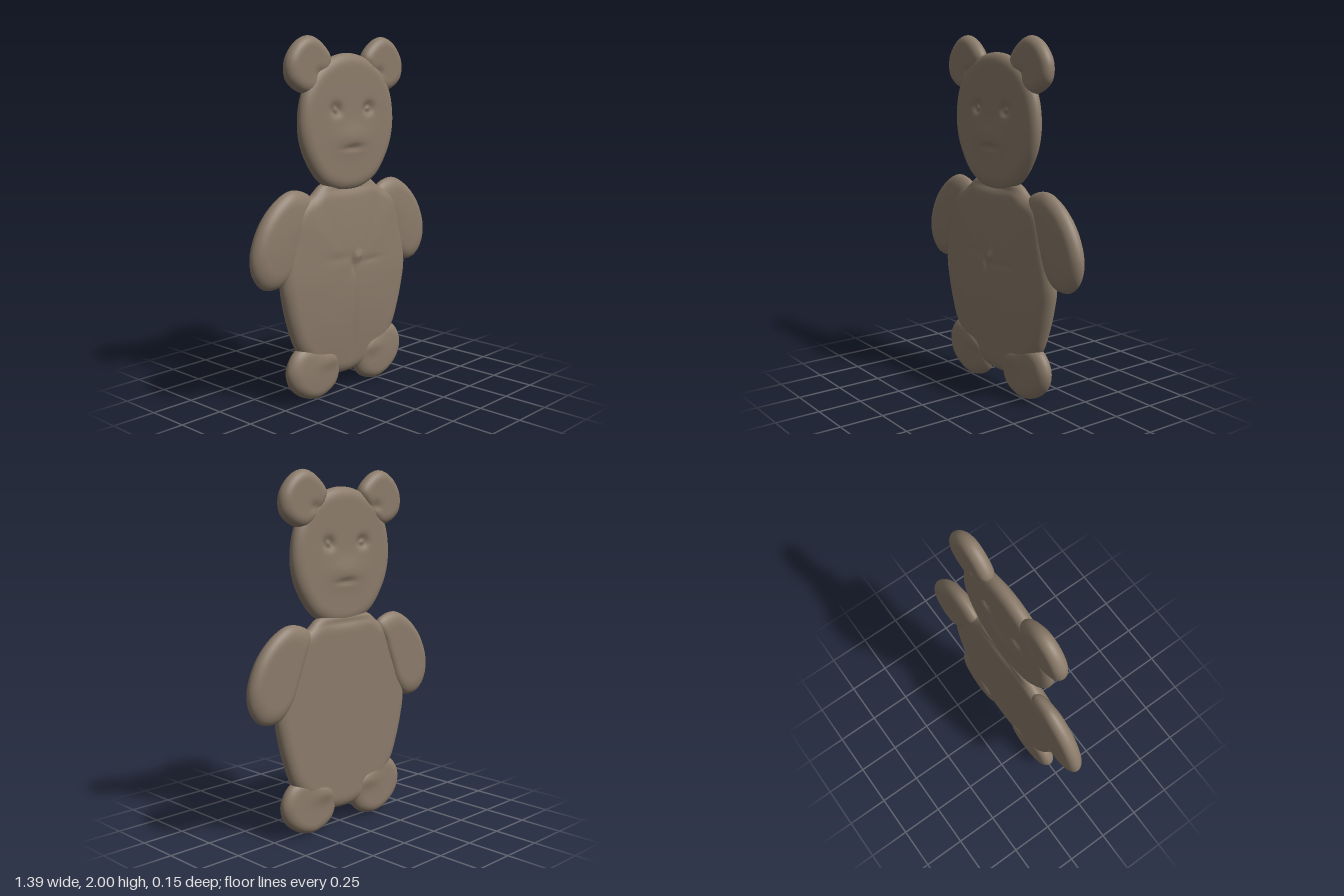
import * as THREE from 'three';

const SEGMENTS = 128;

// Soft bumps and dents: [x, y, radiusX, radiusY, height], summed at a point
const relief = (spots, x, y) => spots.reduce((sum, [cx, cy, rx, ry, h]) =>
  sum + h * Math.exp(-(((x - cx) / rx) ** 2) - ((y - cy) / ry) ** 2), 0);

// Cushion-shaped slab: a smooth outline with a rounded rim, domed front and pressed relief
function cushion(name, outline, { mid, half, rim, dome = 0, front = [], back = [] }, material) {
  const curve = new THREE.CatmullRomCurve3(outline.map(([x, y]) => new THREE.Vector3(x, y, 0)), true);
  const edge = curve.getSpacedPoints(SEGMENTS).slice(0, -1);
  if (THREE.ShapeUtils.area(edge) < 0) edge.reverse();
  const centre = edge.reduce((c, p) => c.add(p), new THREE.Vector3()).divideScalar(SEGMENTS);

  // Inset steps: dense around the rim, then even toward the centre
  const insets = [];
  for (let i = 0; i <= 8; i++) insets.push(rim * (1 - Math.cos(i / 8 * Math.PI / 2)));
  for (let i = 1; i <= 24; i++) insets.push(rim + (0.998 - rim) * i / 24);
  const rings = [
    ...[...insets].reverse().map(t => [t, -1]),
    ...insets.slice(1).map(t => [t, 1]),
  ];

  const positions = [], index = [];
  for (const [t, side] of rings) {
    const round = Math.sqrt(Math.max(0, 1 - (1 - Math.min(t / rim, 1)) ** 2));
    for (const p of edge) {
      const x = centre.x + (p.x - centre.x) * (1 - t);
      const y = centre.y + (p.y - centre.y) * (1 - t);
      const bump = relief(side > 0 ? front : back, x, y) * round;
      const bulge = side > 0 ? dome * (1 - (1 - t) ** 2) : 0;
      positions.push(x, y, mid + side * (half * round + bump) + bulge);
    }
  }
  for (let k = 0; k < rings.length - 1; k++) {
    for (let i = 0; i < SEGMENTS; i++) {
      const j = (i + 1) % SEGMENTS, a = k * SEGMENTS, b = a + SEGMENTS;
      index.push(a + i, a + j, b + j, a + i, b + j, b + i);
    }
  }
  // Close the tiny central openings
  const last = (rings.length - 1) * SEGMENTS;
  for (let i = 1; i < SEGMENTS - 1; i++) {
    index.push(0, i + 1, i, last, last + i, last + i + 1);
  }
  const geometry = new THREE.BufferGeometry();
  geometry.setAttribute('position', new THREE.Float32BufferAttribute(positions, 3));
  geometry.setIndex(index);
  geometry.computeVertexNormals();
  const mesh = new THREE.Mesh(geometry, material);
  mesh.name = name;
  return mesh;
}

const mirrored = half => [...half, ...half.slice(1, -1).reverse().map(([x, y]) => [-x, y])];
const flip = (points, s) => points.map(([x, ...rest]) => [x * s, ...rest]);

export function createModel() {
  const bear = new THREE.Group();
  bear.name = 'flatBear';
  const clay = new THREE.MeshStandardMaterial({ color: 0x8b7b6a });
  clay.name = 'brown clay';

  // Head with pressed eyes, muzzle and mouth on both faces
  const face = [
    [0.13, 1.605, 0.038, 0.032, -0.028], [-0.13, 1.605, 0.038, 0.032, -0.028],
    [0.13, 1.605, 0.016, 0.016, 0.024], [-0.13, 1.605, 0.016, 0.016, 0.024],
    [0, 1.45, 0.12, 0.07, 0.014], [0, 1.395, 0.07, 0.014, -0.012],
  ];
  bear.add(cushion('head', mirrored([
    [0, 1.91], [0.12, 1.89], [0.25, 1.82], [0.34, 1.7], [0.37, 1.55],
    [0.355, 1.43], [0.31, 1.33], [0.22, 1.22], [0.1, 1.165], [0, 1.155],
  ]), { mid: -0.012, half: 0.044, rim: 0.17, dome: 0.006, front: face, back: face }, clay));

  // Domed body with a pinched navel, soft belly creases and a flat back
  bear.add(cushion('body', mirrored([
    [0, 1.21], [0.19, 1.205], [0.27, 1.15], [0.38, 1.1], [0.44, 0.92], [0.495, 0.69],
    [0.475, 0.55], [0.43, 0.4], [0.385, 0.3], [0.28, 0.19], [0.14, 0.12], [0, 0.1],
  ]), {
    mid: -0.025, half: 0.044, rim: 0.12, dome: 0.042,
    front: [
      [0.02, 0.785, 0.03, 0.018, 0.016], [-0.02, 0.74, 0.018, 0.05, -0.012],
      [0.12, 0.75, 0.1, 0.018, -0.005], [-0.12, 0.79, 0.1, 0.018, -0.005],
      [0, 0.3, 0.025, 0.2, -0.008], [0, 1.17, 0.2, 0.02, -0.015],
    ],
    back: [[0, 1.17, 0.2, 0.02, -0.015]],
  }, clay));

  for (const [side, s] of [['left', 1], ['right', -1]]) {
    // Round ear with a crease where it meets the head
    const earCrease = flip([[0.23, 1.8, 0.04, 0.03, -0.012]], s);
    bear.add(cushion(side + 'Ear', flip([
      [0.13, 1.88], [0.2, 1.965], [0.29, 2.0], [0.38, 1.965], [0.45, 1.87],
      [0.445, 1.77], [0.37, 1.71], [0.28, 1.7], [0.19, 1.78],
    ], s), { mid: -0.02, half: 0.045, rim: 0.35, front: earCrease, back: earCrease }, clay));

    // Drooping arm
    bear.add(cushion(side + 'Arm', flip([
      [0.27, 1.14], [0.4, 1.19], [0.52, 1.14], [0.635, 1.02], [0.695, 0.86], [0.675, 0.75],
      [0.61, 0.685], [0.51, 0.68], [0.42, 0.75], [0.36, 0.88], [0.3, 1.03],
    ], s), { mid: -0.036, half: 0.045, rim: 0.32, dome: 0.014 }, clay));

    // Foot with a raised, creased pad on both faces
    const pad = flip([
      [0.17, 0.22, 0.09, 0.045, 0.012], [0.14, 0.285, 0.08, 0.02, -0.01],
    ], s);
    bear.add(cushion(side + 'Foot', flip([
      [0.07, 0.13], [0.11, 0.05], [0.23, 0.002], [0.34, 0.025], [0.435, 0.1], [0.462, 0.19],
      [0.43, 0.27], [0.37, 0.315], [0.26, 0.31], [0.14, 0.28], [0.08, 0.21],
    ], s), { mid: -0.022, half: 0.045, rim: 0.33, dome: 0.012, front: pad, back: pad }, clay));
  }
  return bear;
}
